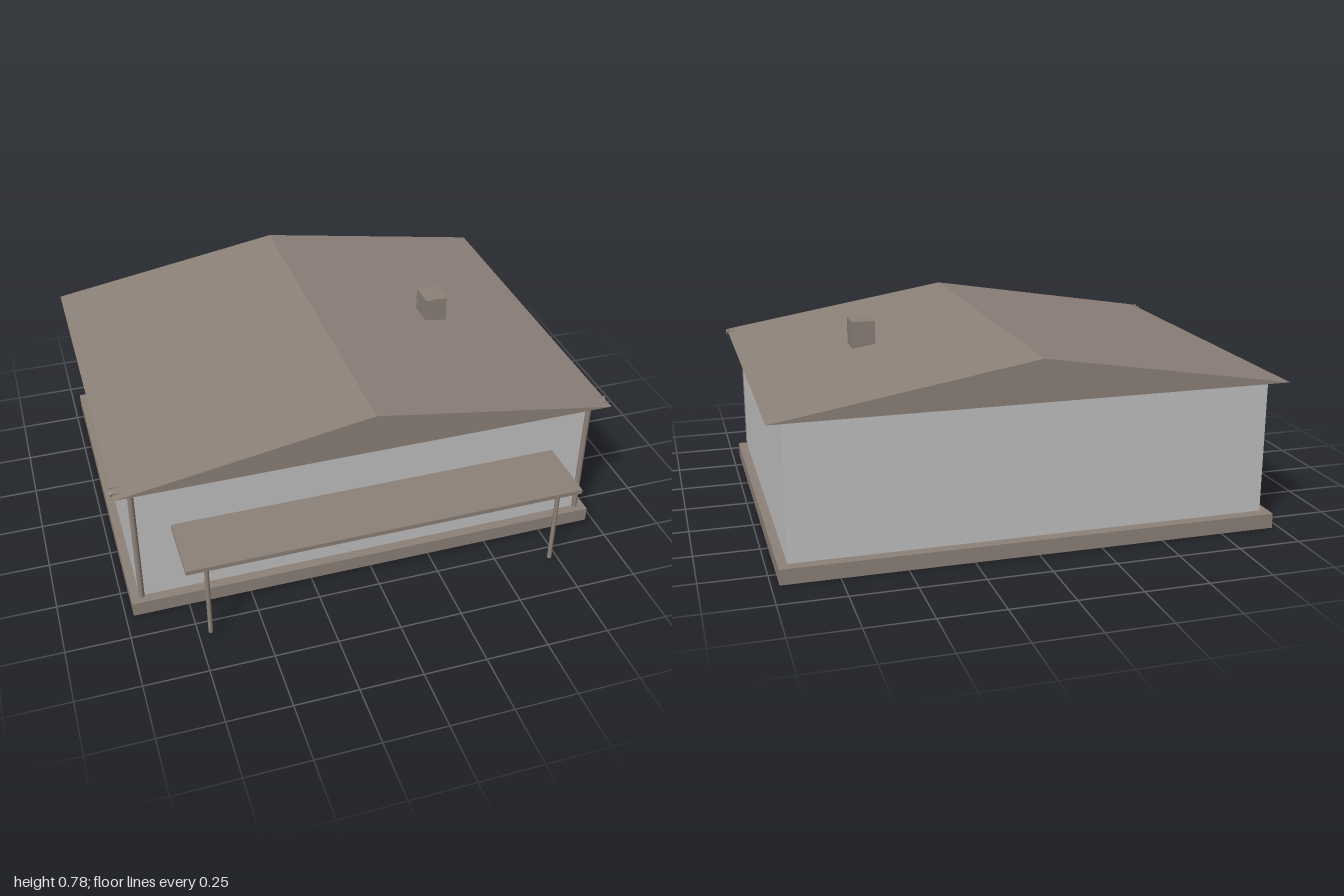
import * as THREE from 'three';

export function createModel() {
  const house = new THREE.Group();
  house.name = 'house';

  const brown = new THREE.MeshStandardMaterial({ color: 0x8e827a });
  brown.name = 'warm brown';
  const grey = new THREE.MeshStandardMaterial({ color: 0xc3c3c3 });
  grey.name = 'light grey';
  const openBrown = brown.clone(); // same colour, for the thin open gutter
  openBrown.name = 'warm brown open';
  openBrown.side = THREE.DoubleSide;

  const add = (name, geometry, material) => {
    const mesh = new THREE.Mesh(geometry, material);
    mesh.name = name;
    house.add(mesh);
    return mesh;
  };
  // Box given by its lower and upper limits on each axis
  const box = (name, [x0, x1], [y0, y1], [z0, z1], material) =>
    add(name, new THREE.BoxGeometry(x1 - x0, y1 - y0, z1 - z0), material)
      .position.set((x0 + x1) / 2, (y0 + y1) / 2, (z0 + z1) / 2);
  // Upright round pole
  const pole = (name, x, z, radius, y0, y1) =>
    add(name, new THREE.CylinderGeometry(radius, radius, y1 - y0, 12), brown)
      .position.set(x, (y0 + y1) / 2, z);

  // Foundation slab and walls
  box('foundation', [-0.97, 0.97], [0, 0.06], [-0.847, 0.637], brown);
  box('walls', [-0.935, 0.935], [0.06, 0.6], [-0.803, 0.597], grey);

  // Solid gable roof, ridge running front to back
  const gable = new THREE.Shape([
    new THREE.Vector2(-0.993, 0.6),
    new THREE.Vector2(0.993, 0.6),
    new THREE.Vector2(0, 0.763),
  ]);
  const roof = new THREE.ExtrudeGeometry(gable, { depth: 1.525, bevelEnabled: false });
  add('roof', roof, brown).position.z = -0.866;

  // Chimney
  box('chimney', [0.47, 0.564], [0.61, 0.779], [-0.16, -0.05], brown);

  // Half-round gutter along the front eave, open upward
  const gutter = new THREE.CylinderGeometry(0.019, 0.019, 2, 12, 1, true, -Math.PI / 2, Math.PI);
  gutter.rotateX(Math.PI / 2).rotateY(Math.PI / 2); // trough opens along y, runs along x
  add('gutter', gutter, openBrown).position.set(0, 0.606, 0.609);

  // Awning slab in front of the wall
  box('awning', [-0.788, 0.788], [0.367, 0.385], [0.597, 0.867], brown);

  // Downspouts and awning posts, mirrored
  for (const side of [-1, 1]) {
    pole('downspout', side * 0.927, 0.6, 0.0115, 0.06, 0.6);
    pole('awningPost', side * 0.706, 0.828, 0.009, 0.023, 0.37);
  }
  return house;
}
